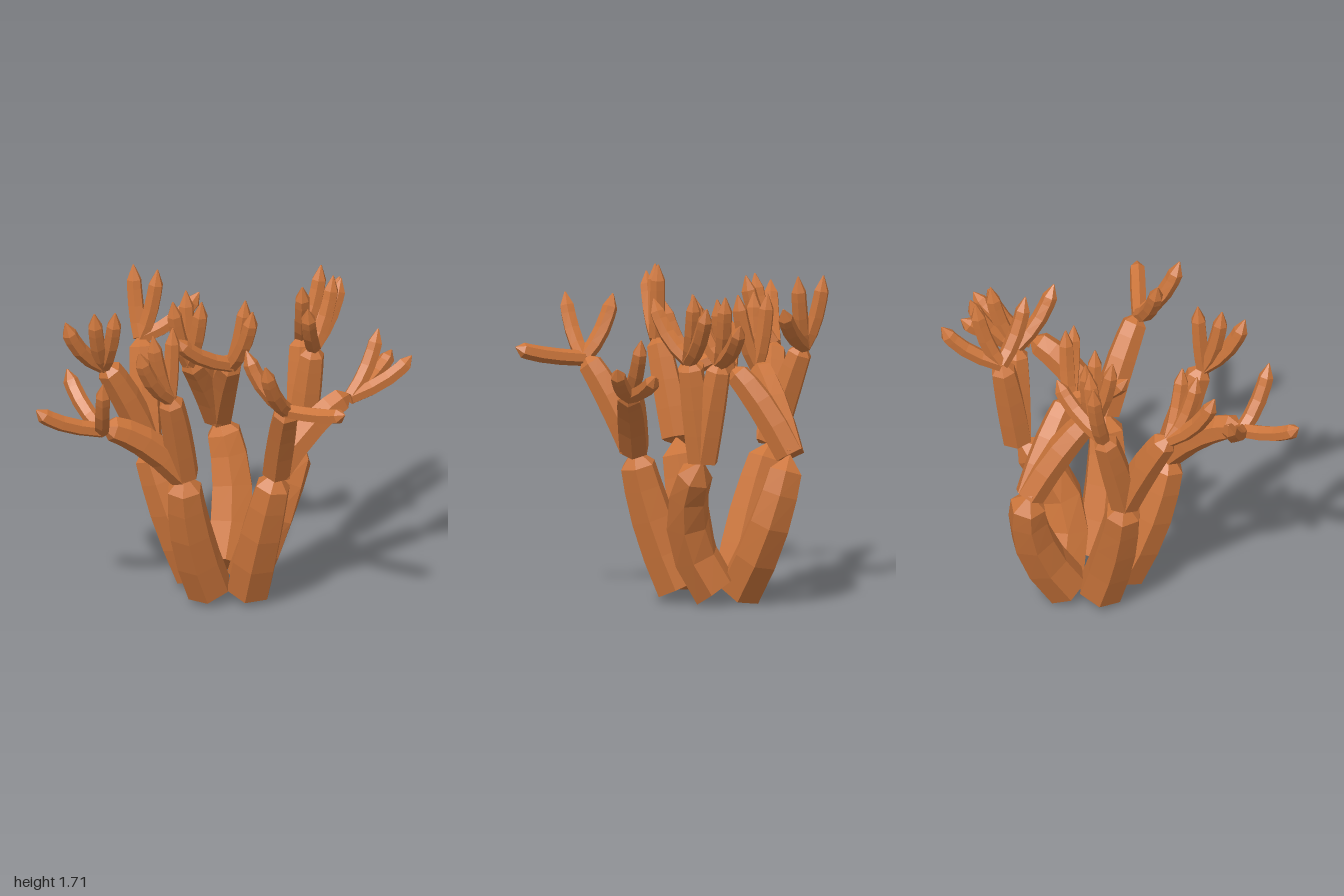
import * as THREE from 'three';

const SIDES = 6;
const TRUNK_LENGTH = 0.78, BRANCH_LENGTH = 0.56, TWIG_LENGTH = 0.39;

// Point reached from p by a limb of given length leaning dx, dz sideways
function reach(p, [dx, dz], length) {
  const dy = Math.sqrt(length * length - dx * dx - dz * dz);
  return new THREE.Vector3(p.x + dx, p.y + dy, p.z + dz);
}

// Six-sided bent stalk: flat base, slow taper, pointed end
function stalk(start, end, bend, r0, r1, shoulder) {
  const ctrl = start.clone().lerp(end, 0.5).addScaledVector(bend, 2);
  const curve = new THREE.QuadraticBezierCurve3(start, ctrl, end);
  const steps = [0, 0.25, 0.5, 0.72, shoulder, 1];
  const pos = [], idx = [];
  const side = curve.getTangent(0).cross(new THREE.Vector3(0.3, 0, 1)).normalize();
  for (const t of steps) {
    const c = curve.getPoint(t), dir = curve.getTangent(t);
    const u = side.clone().addScaledVector(dir, -side.dot(dir)).normalize();
    const w = dir.clone().cross(u);
    const r = t === 1 ? 0.004 : r0 + (r1 - r0) * t + Math.sin(Math.PI * t) * r0 * 0.1;
    for (let i = 0; i < SIDES; i++) {
      const ang = (i / SIDES) * Math.PI * 2;
      const p = c.clone().addScaledVector(u, Math.cos(ang) * r).addScaledVector(w, Math.sin(ang) * r);
      pos.push(p.x, p.y, p.z);
    }
  }
  for (let s = 0; s < steps.length - 1; s++) {
    for (let i = 0; i < SIDES; i++) {
      const j = (i + 1) % SIDES, k = s * SIDES;
      idx.push(k + i, k + j, k + SIDES + j, k + i, k + SIDES + j, k + SIDES + i);
    }
  }
  // End caps
  const last = (steps.length - 1) * SIDES;
  for (let i = 1; i < SIDES - 1; i++) {
    idx.push(0, i + 1, i, last, last + i, last + i + 1);
  }
  const g = new THREE.BufferGeometry();
  g.setAttribute('position', new THREE.Float32BufferAttribute(pos, 3));
  g.setIndex(idx);
  const flat = g.toNonIndexed();
  flat.computeVertexNormals();
  return flat;
}

// All pairs are x, z: trunk base, lean and bow, then each branch's lean and its twigs' leans
const TRUNKS = [
  { name: 'frontRightTrunk', base: [-0.07, -0.06], lean: [-0.15, 0.2], bow: [-0.03, 0.01],
    branches: [
      { lean: [-0.09, 0.16], twigs: [[-0.17, 0.14], [-0.09, 0.05], [0.02, -0.02]] },
      { lean: [-0.44, 0.1], twigs: [[-0.35, 0.07], [-0.01, 0.19], [-0.16, -0.26]] },
    ] },
  { name: 'frontLeftTrunk', base: [0.14, -0.05], lean: [0.13, 0.2], bow: [-0.01, 0.03],
    branches: [
      { lean: [0.03, 0.28], twigs: [[0.28, 0.26], [-0.13, 0.17], [-0.21, -0.07]] },
      { lean: [0.4, -0.16], twigs: [[0.33, -0.09], [0.24, -0.27], [0.16, -0.15]] },
    ] },
  { name: 'middleLeftTrunk', base: [0.16, -0.27], lean: [0.28, -0.06], bow: [-0.02, 0.135],
    branches: [
      { lean: [0.01, -0.11], twigs: [[0.22, -0.22], [0.11, -0.08], [-0.01, 0.17]] },
      { lean: [0.06, 0.05], twigs: [[-0.05, 0.23], [0.11, -0.08], [0.16, -0.18]] },
    ] },
  { name: 'middleRightTrunk', base: [-0.11, -0.26], lean: [-0.26, -0.08], bow: [-0.01, 0.02],
    branches: [
      { lean: [-0.24, 0.1], twigs: [[-0.21, 0.12], [-0.06, 0.14], [0.05, 0.14]] },
      { lean: [-0.02, -0.18], twigs: [[-0.03, -0.1], [0.31, -0.03], [0.09, -0.01]] },
    ] },
  { name: 'backTrunk', base: [0.04, -0.36], lean: [-0.01, -0.28], bow: [0.06, -0.055],
    branches: [
      { lean: [-0.18, 0.28], twigs: [[-0.09, 0.06], [-0.01, -0.06], [0.06, 0.08]] },
      { lean: [0.04, 0.33], twigs: [[-0.3, 0.13], [0.07, 0.04], [0.1, 0.13]] },
    ] },
];

export function createModel() {
  const group = new THREE.Group();
  group.name = 'branchingCoral';
  const coral = new THREE.MeshStandardMaterial({ color: 0xcb753b });
  coral.name = 'coralOrange';

  const add = (name, geometry, parent) => {
    const mesh = new THREE.Mesh(geometry, coral);
    mesh.name = name;
    parent.add(mesh);
  };

  for (const { name, base, lean, bow, branches } of TRUNKS) {
    const limb = new THREE.Group();
    limb.name = name + 'Group';
    group.add(limb);
    const foot = new THREE.Vector3(base[0], 0.075, base[1]);
    const top = reach(foot, lean, TRUNK_LENGTH);
    add(name, stalk(foot, top, new THREE.Vector3(bow[0], 0, bow[1]), 0.125, 0.088, 0.88), limb);

    for (const branch of branches) {
      // The more a branch leans, the more it arches upward
      const fork = reach(top, branch.lean, BRANCH_LENGTH);
      const arch = new THREE.Vector3(0, 0.12 * Math.hypot(...branch.lean), 0);
      add('branch', stalk(top, fork, arch, 0.083, 0.062, 0.87), limb);

      // Twigs leave the fork sideways, then curve up
      const root = fork.clone();
      root.y -= 0.02;
      for (const twigLean of branch.twigs) {
        const end = reach(root, twigLean, TWIG_LENGTH);
        const bend = end.clone().sub(root).multiply(new THREE.Vector3(0.12, -0.08, 0.12));
        add('twig', stalk(root, end, bend, 0.041, 0.038, 0.83), limb);
      }
    }
  }
  return group;
}
